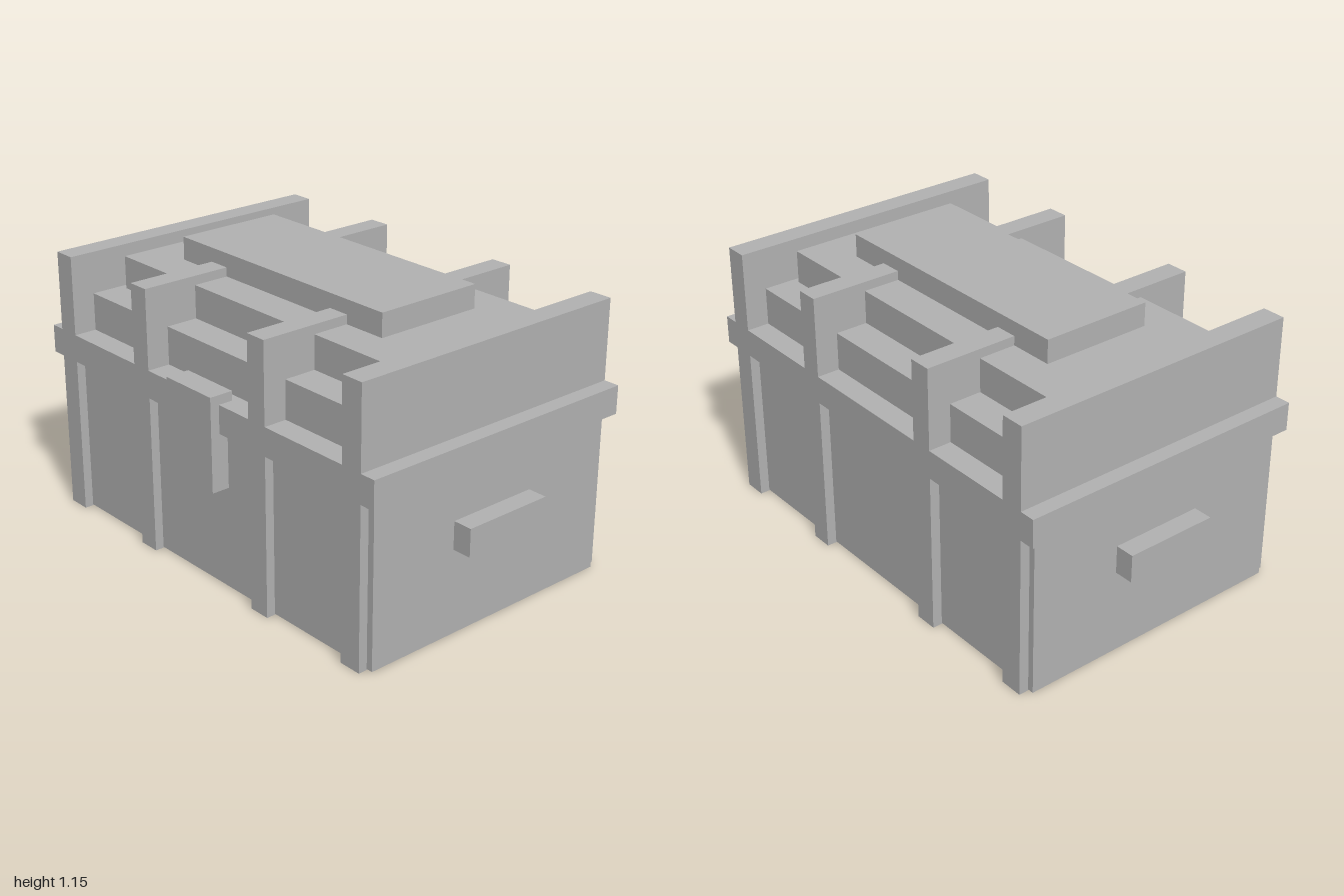
import * as THREE from 'three';

export function createModel() {
  const chest = new THREE.Group();
  chest.name = 'chest';
  const grey = new THREE.MeshStandardMaterial({ color: 0xb2b2b2 });
  grey.name = 'plain grey';

  // Box from its min and max on each axis
  function box(name, [x0, x1], [y0, y1], [z0, z1]) {
    const mesh = new THREE.Mesh(new THREE.BoxGeometry(x1 - x0, y1 - y0, z1 - z0), grey);
    mesh.position.set((x0 + x1) / 2, (y0 + y1) / 2, (z0 + z1) / 2);
    mesh.name = name;
    chest.add(mesh);
  }

  const depth = [-0.635, 0.597];

  // Lower box and the rim around its top
  box('body', [-0.922, 0.92], [0.004, 0.66], [-0.595, 0.56]);
  box('rim', [-0.96, 0.958], [0.655, 0.77], depth);

  // Stepped lid
  box('lidLowerStep', [-0.81, 0.81], [0.76, 0.925], [-0.54, 0.5]);
  box('lidMiddleStep', [-0.768, 0.766], [0.92, 1.06], [-0.405, 0.365]);
  box('lidTopStep', [-0.577, 0.575], [1.055, 1.155], [-0.25, 0.212]);

  // Straps running front to back over the whole chest
  const straps = [[-0.897, -0.802], [-0.396, -0.304], [0.3, 0.391], [0.798, 0.893]];
  straps.forEach((x, i) => box(`strap${i + 1}`, x, [0, 1.097], depth));

  // Front latch and side handles
  box('latch', [-0.134, 0.13], [0.425, 0.808], [0.535, 0.635]);
  box('leftHandle', [0.9, 1], [0.35, 0.463], [-0.212, 0.174]);
  box('rightHandle', [-1, -0.9], [0.35, 0.463], [-0.212, 0.174]);

  return chest;
}
